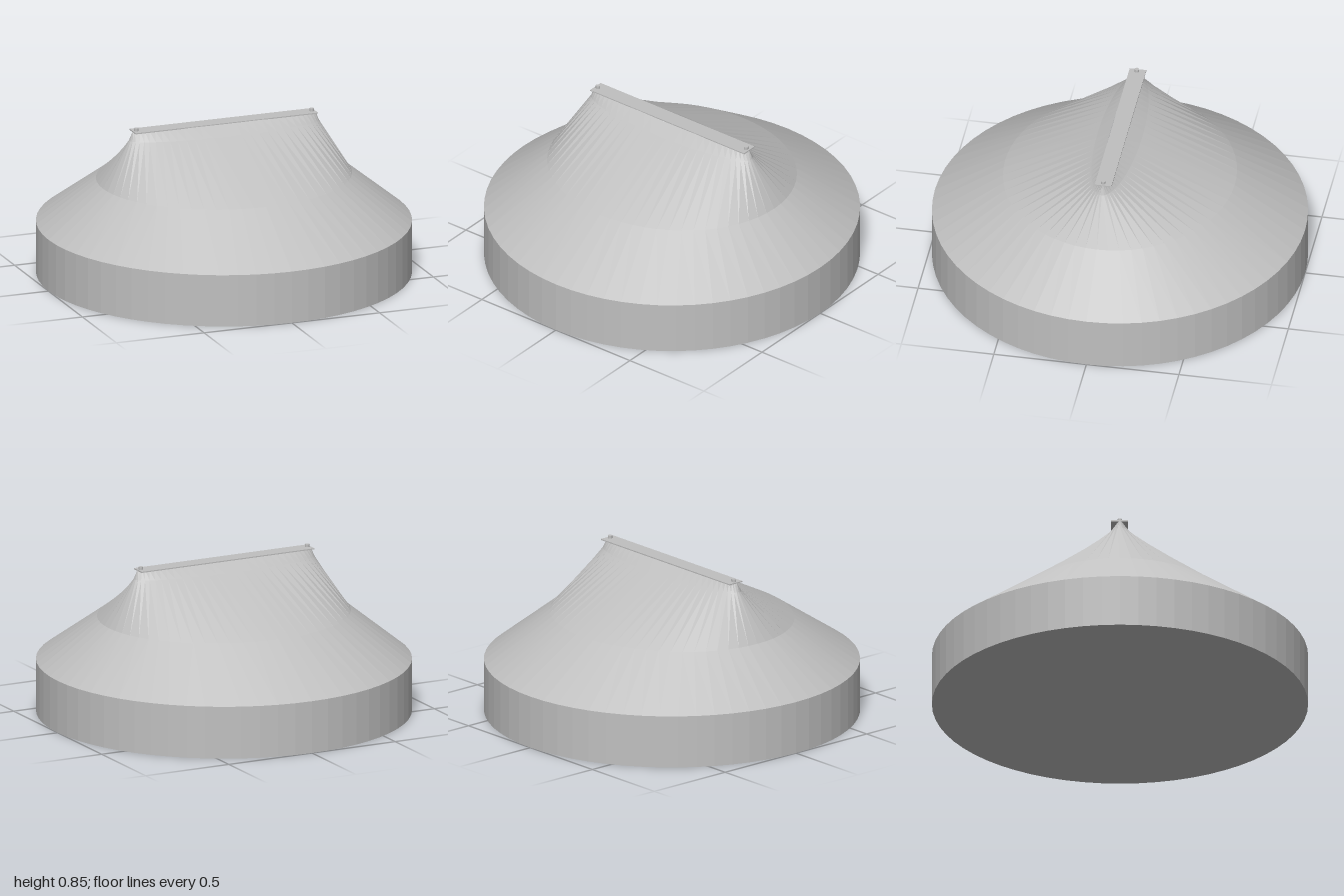
import * as THREE from 'three';

const SIDES = 64;

// Faceted skin through elliptical rings [y, radiusX, radiusZ], listed bottom to top
function loft(rings) {
  const points = [], faces = [];
  rings.forEach(([y, rx, rz], j) => {
    for (let i = 0; i < SIDES; i++) {
      const a = (i / SIDES) * Math.PI * 2;
      points.push(rx * Math.cos(a), y, rz * Math.sin(a));
      if (j === 0) continue;
      const next = (i + 1) % SIDES, low = (j - 1) * SIDES, high = j * SIDES;
      faces.push(low + i, high + i, high + next, low + i, high + next, low + next);
    }
  });
  const indexed = new THREE.BufferGeometry();
  indexed.setAttribute('position', new THREE.Float32BufferAttribute(points, 3));
  indexed.setIndex(faces);
  const geometry = indexed.toNonIndexed();
  geometry.computeVertexNormals();
  return geometry;
}

export function createModel() {
  const model = new THREE.Group();
  const grey = new THREE.MeshStandardMaterial({ color: 0xc0c0c0 });
  grey.name = 'plain grey';

  const add = (name, geometry, x = 0, y = 0, z = 0) => {
    const mesh = new THREE.Mesh(geometry, grey);
    mesh.name = name;
    mesh.position.set(x, y, z);
    model.add(mesh);
  };

  // Round drum and its flat underside
  add('baseWall', loft([[0, 1, 1], [0.285, 1, 1]]));
  add('baseBottom', new THREE.CircleGeometry(1, SIDES).rotateX(Math.PI / 2));

  // Hood narrowing from the circle to a slim ellipse
  add('lowerHood', loft([[0.285, 1, 1], [0.535, 0.69, 0.62]]));
  add('upperHood', loft([[0.535, 0.69, 0.62], [0.785, 0.54, 0.12]]));
  add('neck', loft([[0.785, 0.54, 0.12], [0.832, 0.522, 0.045]]));

  // Thin rectangular plate closing the top, with a peg at each end
  add('topPlate', new THREE.BoxGeometry(1.04, 0.006, 0.09), 0, 0.833, -0.003);
  for (const side of [-1, 1]) {
    add(side > 0 ? 'leftPeg' : 'rightPeg',
      new THREE.CylinderGeometry(0.012, 0.012, 0.02, 16), side * 0.5, 0.841, 0);
  }
  return model;
}
